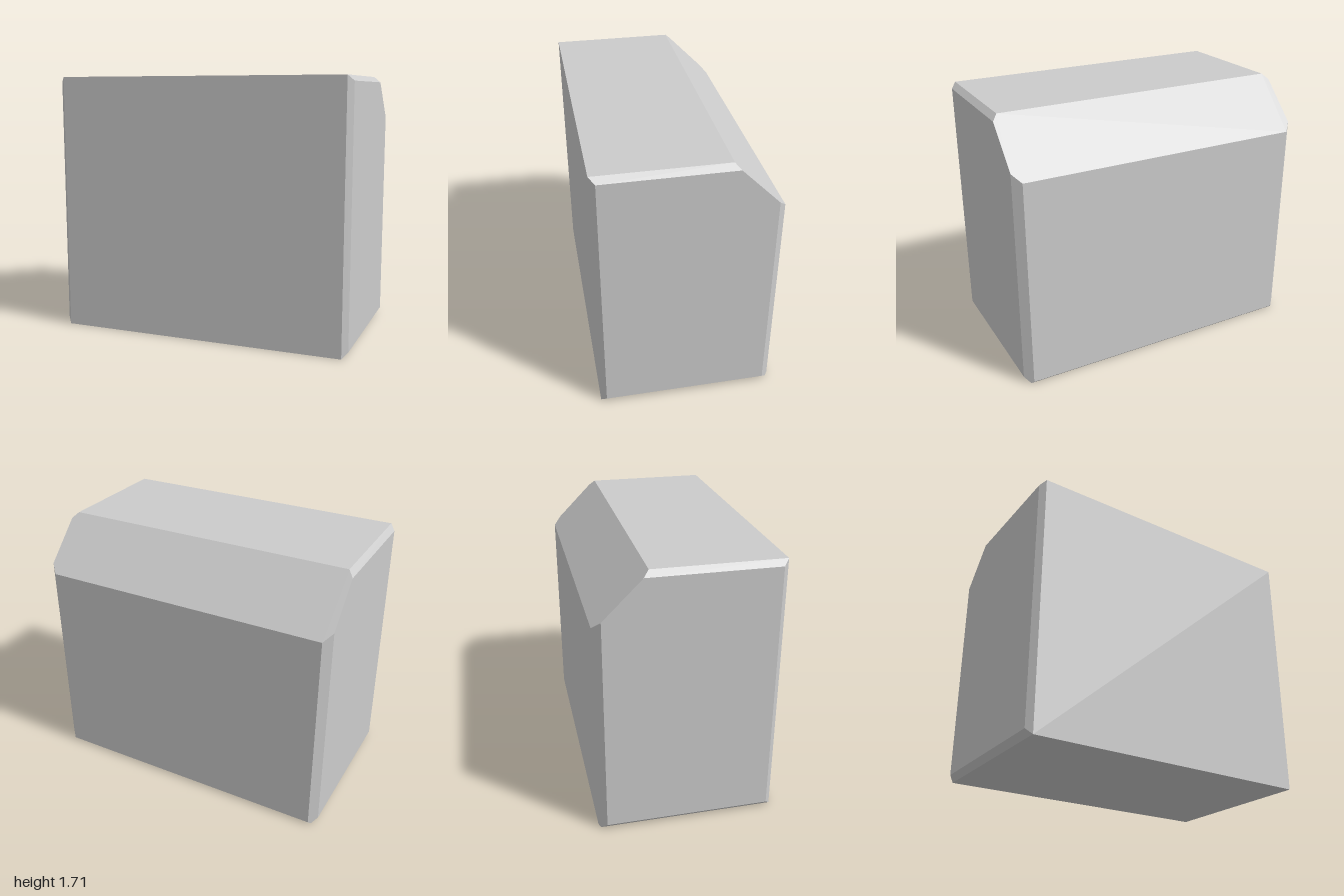
import * as THREE from 'three';
import { ConvexGeometry } from 'three/addons/geometries/ConvexGeometry.js';

export function createModel() {
  const group = new THREE.Group();
  group.name = 'chamferedBlock';

  // Half cross-section rings as [x, y, z]; mirrored in x
  const rim = [
    [0.965, 0, 0.565], [0.965, 1.71, 0.565],      // front face
    [0.965, 1.71, -0.24], [0.95, 1.385, -0.565],  // sloped top back
    [0.95, 0.015, -0.565], [0.965, 0, -0.55],     // small bottom back bevel
  ];
  const side = [
    [1, 0.038, 0.53], [1, 1.675, 0.53],
    [1, 1.675, -0.275], [1, 1.435, -0.515], [1, 0.038, -0.515],
  ];

  // Every edge is a flat chamfer, so the solid is the hull of its corners
  const corners = [...rim, ...side].flatMap(([x, y, z]) => [
    new THREE.Vector3(x, y, z), new THREE.Vector3(-x, y, z),
  ]);
  const body = new THREE.Mesh(
    new ConvexGeometry(corners),
    new THREE.MeshStandardMaterial({ color: 0xcccccc, flatShading: true }),
  );
  body.name = 'body';
  group.add(body);
  return group;
}
